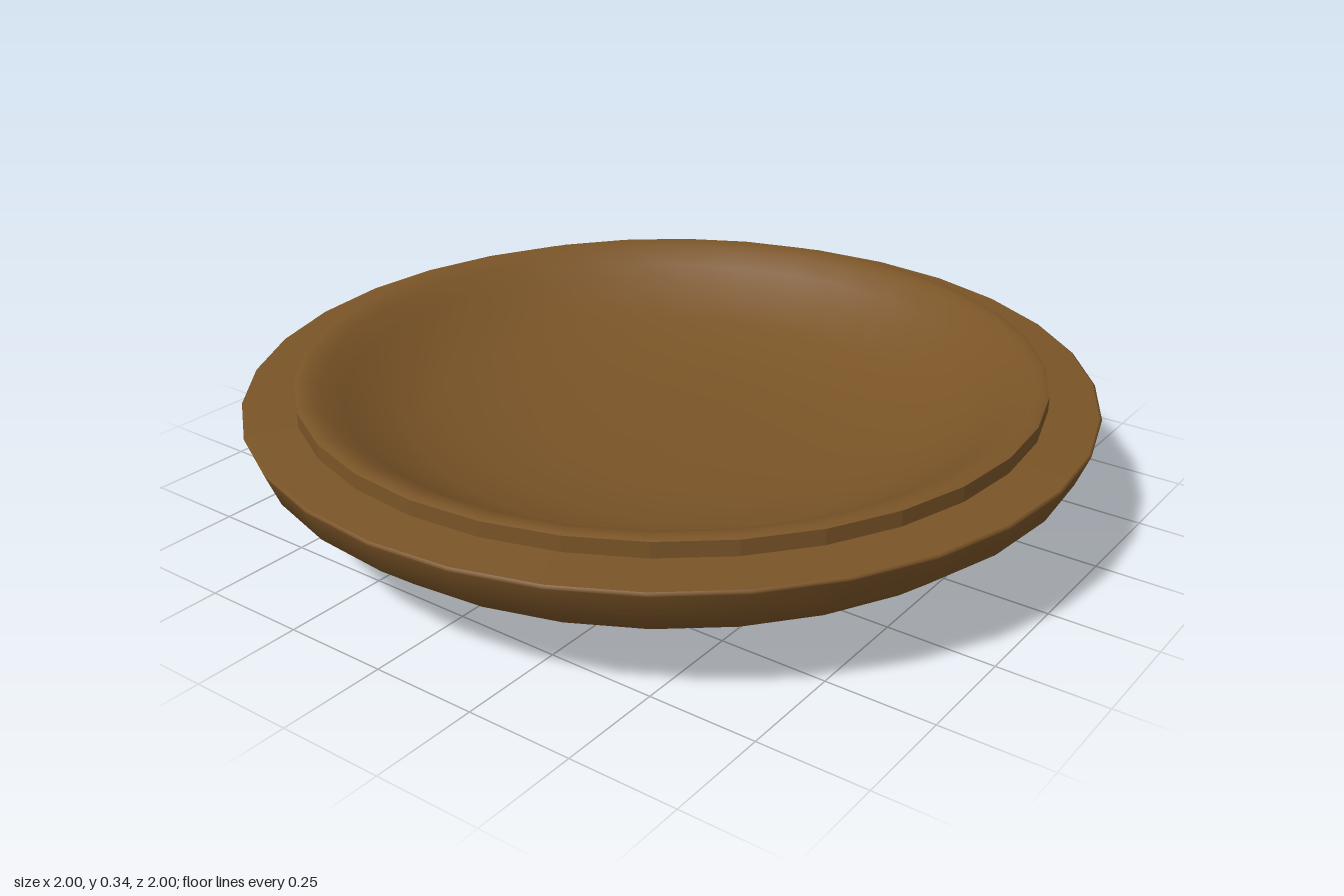
import * as THREE from 'three';

const SIDES = 32;

export function createModel() {
  const model = new THREE.Group();
  model.name = 'dish';
  const brown = new THREE.MeshStandardMaterial({ color: 0x7a5427 });
  brown.name = 'brown clay';

  // Revolve one smooth stretch of the profile; separate stretches keep sharp edges
  function turned(name, profile, faceted = false) {
    let geometry = new THREE.LatheGeometry(profile.map(([r, y]) => new THREE.Vector2(r, y)), SIDES);
    if (faceted) {
      geometry = geometry.toNonIndexed();
      geometry.computeVertexNormals();
    }
    const mesh = new THREE.Mesh(geometry, brown);
    mesh.name = name;
    model.add(mesh);
  }

  // Rounded underside, softly rolled at the very edge
  turned('outerBowl', [[0, 0], [0.2, 0.002], [0.4, 0.008], [0.57, 0.031],
    [0.73, 0.073], [0.885, 0.145], [0.97, 0.215], [0.998, 0.285], [1, 0.291], [0.995, 0.294]]);

  // Wide, nearly flat rim
  turned('rim', [[0.995, 0.294], [0.88, 0.3]]);

  // Raised lip standing on the rim
  turned('lipWall', [[0.88, 0.3], [0.88, 0.336]], true);

  // Shallow hollow inside, rolling over the lip and down to the centre
  turned('innerBowl', [[0.88, 0.336], [0.868, 0.34], [0.85, 0.338], [0.82, 0.328], [0.77, 0.296],
    [0.7, 0.248], [0.6, 0.203], [0.45, 0.164], [0.3, 0.146], [0.15, 0.141], [0, 0.14]]);

  return model;
}
